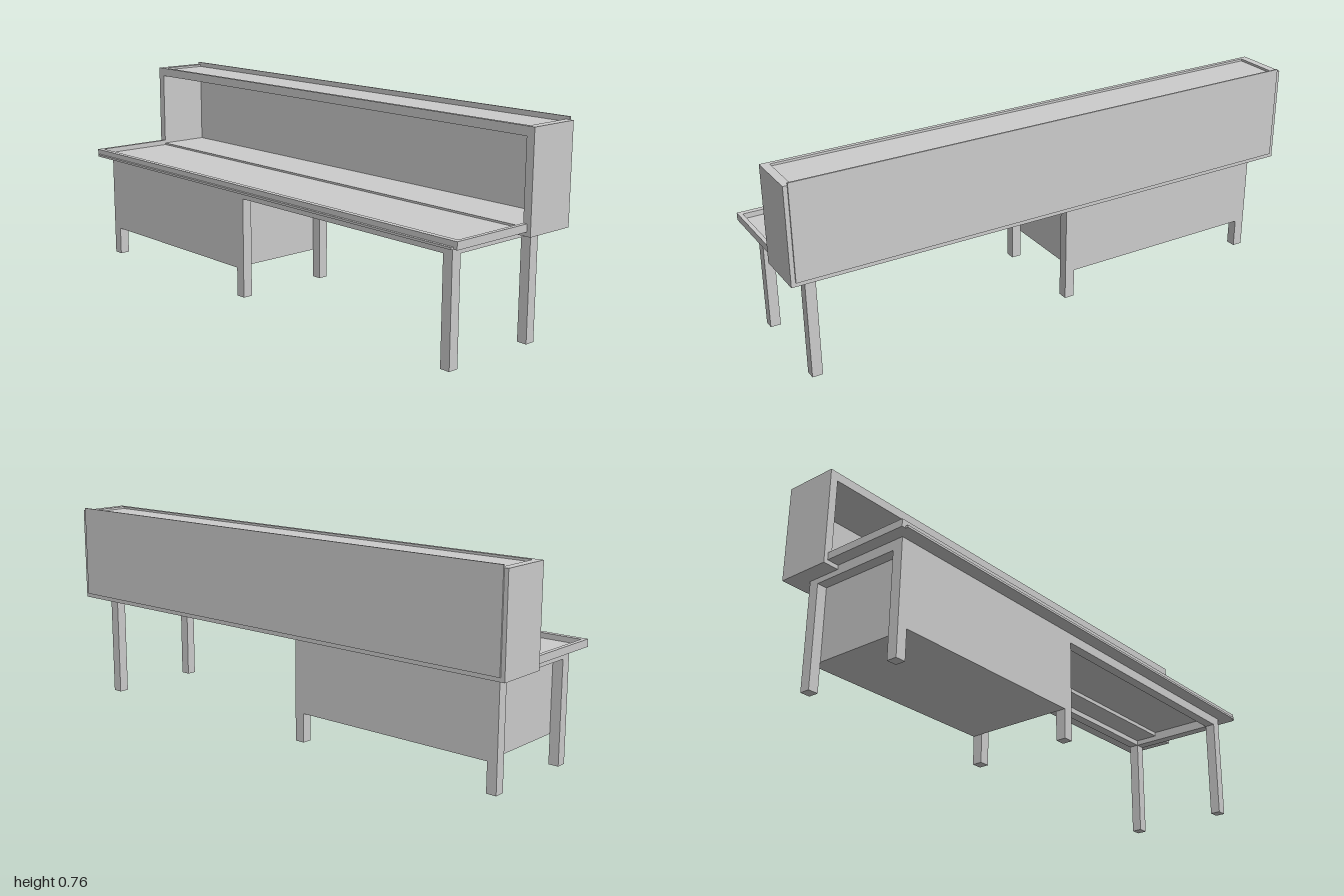
import * as THREE from 'three';

export function createModel() {
  const model = new THREE.Group();
  model.name = 'desk';
  const material = new THREE.MeshStandardMaterial({ color: 0xcccccc, flatShading: true });

  // Box given by its limits on each axis
  function block(parent, name, [x0, x1], [y0, y1], [z0, z1]) {
    const mesh = new THREE.Mesh(new THREE.BoxGeometry(x1 - x0, y1 - y0, z1 - z0), material);
    mesh.position.set((x0 + x1) / 2, (y0 + y1) / 2, (z0 + z1) / 2);
    mesh.name = name;
    parent.add(mesh);
  }
  function part(name) {
    const group = new THREE.Group();
    group.name = name;
    model.add(group);
    return group;
  }

  // Under-frame: three pairs of legs joined by aprons
  const frame = part('legFrame');
  const legX = [[-0.94, -0.902], [-0.122, -0.084], [0.892, 0.93]];
  const legZ = [[0.18, 0.218], [-0.198, -0.16]];
  const apronY = [0.375, 0.41];
  for (const x of legX) {
    for (const z of legZ) block(frame, 'leg', x, [0, 0.41], z);
    block(frame, 'sideApron', x, apronY, [-0.16, 0.18]);
  }
  for (const z of legZ) block(frame, 'longApron', [-0.084, 0.892], apronY, z);

  // Closed cabinet between the first two leg pairs
  block(model, 'cabinet', [-0.902, -0.122], [0.108, 0.41], [-0.198, 0.218]);

  // Worktop: thin panel inside a raised rim
  const top = part('worktop');
  block(top, 'worktopPanel', [-0.97, 0.97], [0.41, 0.418], [-0.262, 0.27]);
  block(top, 'frontRim', [-0.985, 0.985], [0.41, 0.437], [0.24, 0.26]);
  for (const s of [-1, 1]) {
    const x = [0.97 * s, 0.985 * s].sort((a, b) => a - b);
    block(top, 'sideRim', x, [0.41, 0.437], [-0.262, 0.24]);
  }

  // Open-fronted upper shelf
  const shelf = part('upperShelf');
  const shelfZ = [-0.265, -0.068];
  for (const s of [-1, 1]) {
    const x = [0.97 * s, s].sort((a, b) => a - b);
    block(shelf, 'shelfSide', x, [0.395, 0.747], shelfZ);
  }
  block(shelf, 'shelfFloor', [-0.97, 0.97], [0.395, 0.425], shelfZ);
  block(shelf, 'shelfTop', [-0.97, 0.97], [0.715, 0.739], shelfZ);
  block(shelf, 'shelfTopRim', [-0.97, 0.97], [0.715, 0.747], [-0.083, -0.068]);
  block(shelf, 'backPanel', [-0.985, 0.985], [0.41, 0.757], [-0.27, -0.264]);

  return model;
}
